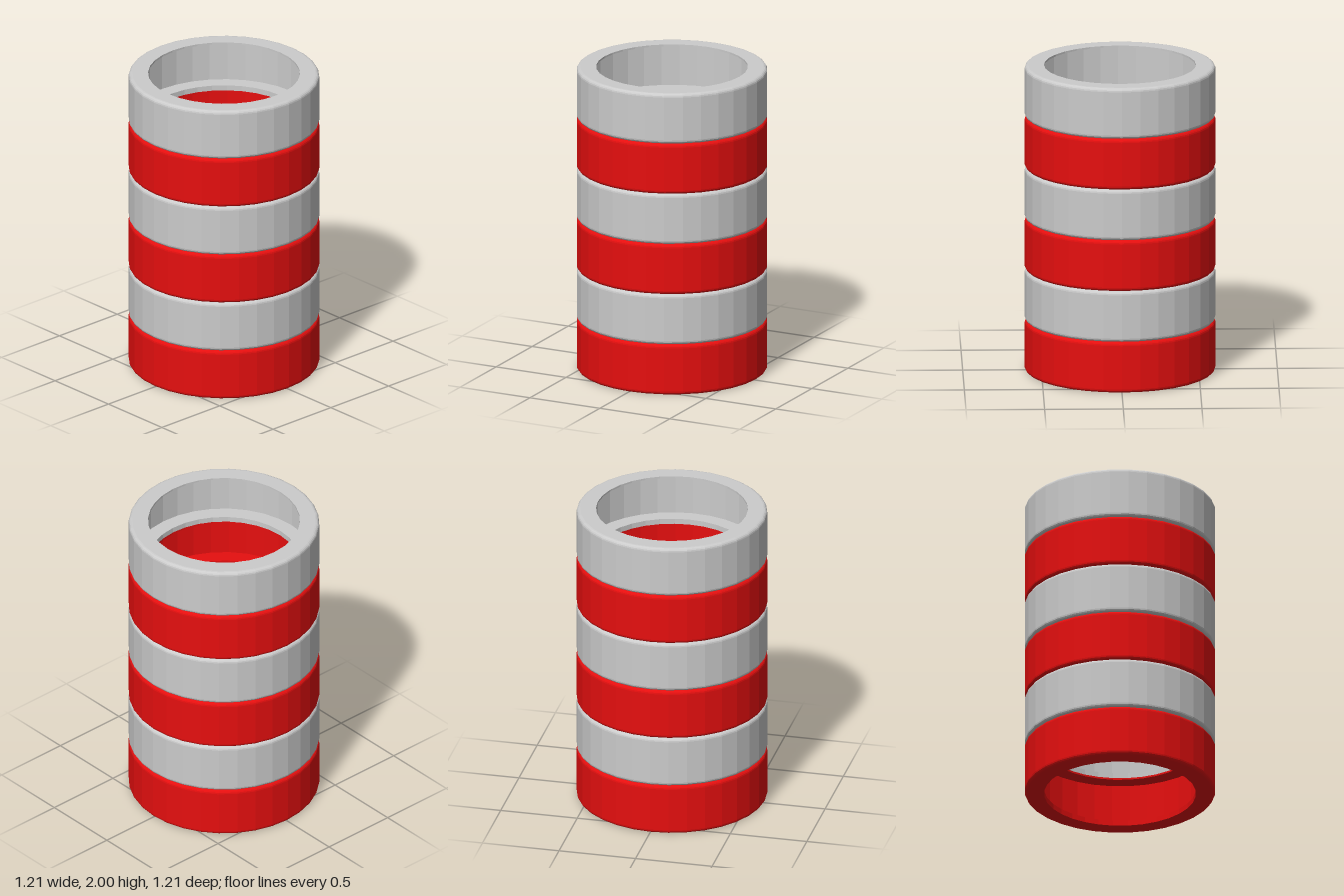
import * as THREE from 'three';

const RINGS = 6;
const HEIGHT = 2 / RINGS;
const OUTER = 0.607, WALL = 0.58, HOLE = 0.483;
const ROUND = 0.024;
const BOTTOM_LIP = 0.035, TOP_LIP = 0.012;

// Closed C-shaped cross-section: thin outer wall with an inward lip at each end
function ringProfile() {
  const p = [new THREE.Vector2(HOLE, 0)];
  const corner = (y, start) => {
    for (let i = 0; i <= 4; i++) {
      const a = start + (i / 4) * Math.PI / 2;
      p.push(new THREE.Vector2(OUTER - ROUND + ROUND * Math.cos(a), y + ROUND * Math.sin(a)));
    }
  };
  corner(ROUND, -Math.PI / 2);
  corner(HEIGHT - ROUND, 0);
  p.push(
    new THREE.Vector2(HOLE, HEIGHT),
    new THREE.Vector2(HOLE, HEIGHT - TOP_LIP),
    new THREE.Vector2(WALL, HEIGHT - TOP_LIP),
    new THREE.Vector2(WALL, BOTTOM_LIP),
    new THREE.Vector2(HOLE, BOTTOM_LIP),
    new THREE.Vector2(HOLE, 0)
  );
  return p;
}

export function createModel() {
  const model = new THREE.Group();
  model.name = 'ringStack';

  const red = new THREE.MeshStandardMaterial({ color: 0xe60f0f, flatShading: true });
  const grey = new THREE.MeshStandardMaterial({ color: 0xcccccc, flatShading: true });
  const geometry = new THREE.LatheGeometry(ringProfile(), 32);

  // Alternating rings, red at the bottom
  for (let i = 0; i < RINGS; i++) {
    const ring = new THREE.Mesh(geometry, i % 2 ? grey : red);
    ring.name = (i % 2 ? 'greyRing' : 'redRing') + (Math.floor(i / 2) + 1);
    ring.position.y = i * HEIGHT;
    model.add(ring);
  }
  return model;
}
